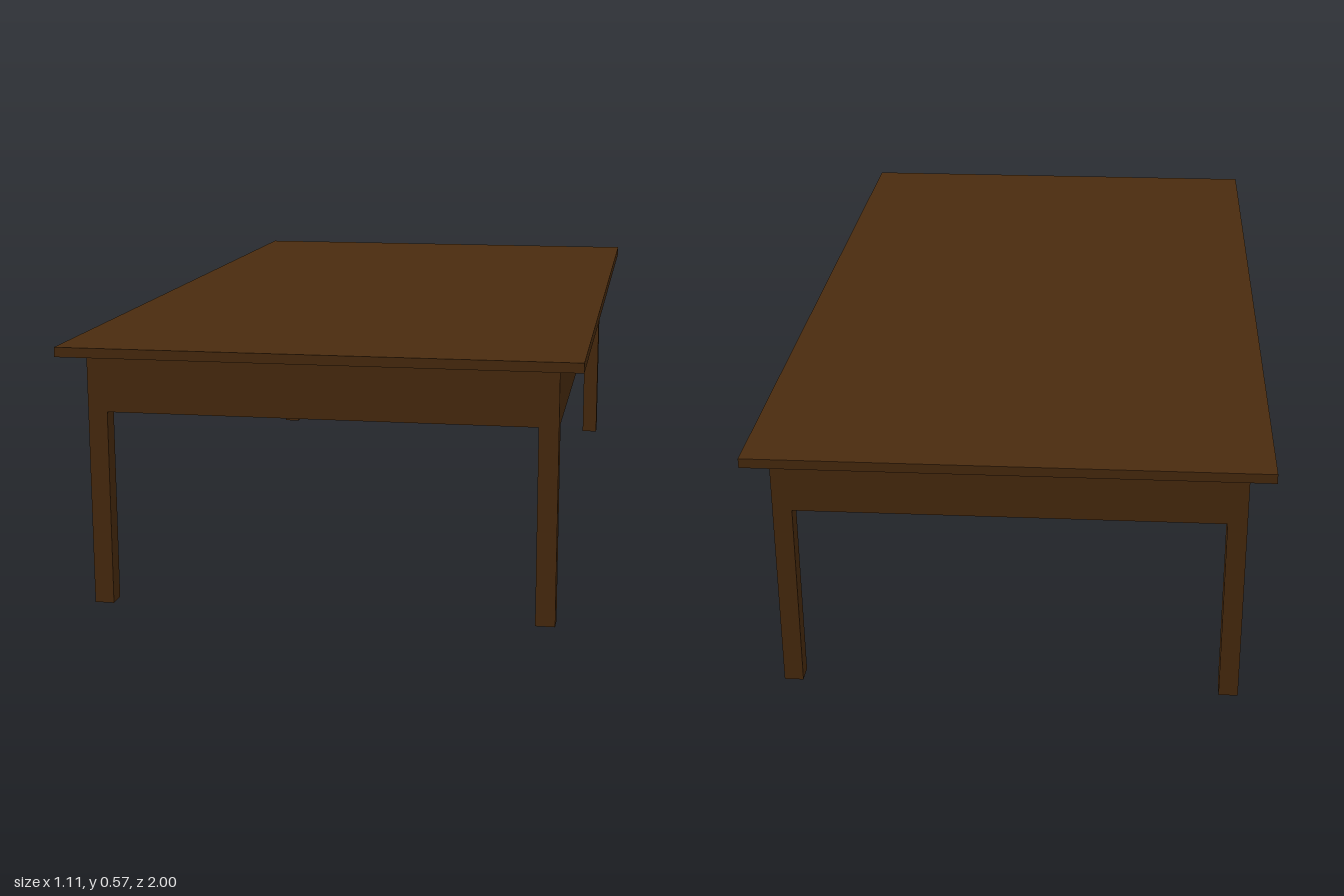
import * as THREE from 'three';

export function createModel() {
  const table = new THREE.Group();
  table.name = 'table';
  const wood = new THREE.MeshStandardMaterial({ color: 0x4a2b0e });
  wood.name = 'dark wood';

  const topWidth = 1.106, topLength = 2, height = 0.574, topThickness = 0.021;
  const apronBottom = 0.427, ceiling = 0.53, frameX = 0.502, frameZ = 0.946, leg = 0.042;
  const under = height - topThickness;
  const apronHeight = under - apronBottom;

  // Box whose y position is given by its base
  function box(name, w, h, d, x, base, z) {
    const mesh = new THREE.Mesh(new THREE.BoxGeometry(w, h, d), wood);
    mesh.name = name;
    mesh.position.set(x, base + h / 2, z);
    table.add(mesh);
  }

  box('tabletop', topWidth, topThickness, topLength, 0, under, 0);

  // Panel closing the frame beneath the tabletop
  const innerX = frameX - leg, innerZ = frameZ - leg;
  box('innerPanel', 2 * innerX, under - ceiling, 2 * innerZ, 0, ceiling, 0);

  // Apron as one rectangular ring
  const ring = new THREE.Shape([[-1, -1], [1, -1], [1, 1], [-1, 1]]
    .map(([x, z]) => new THREE.Vector2(x * frameX, z * frameZ)));
  ring.holes.push(new THREE.Path([[-1, -1], [-1, 1], [1, 1], [1, -1]]
    .map(([x, z]) => new THREE.Vector2(x * innerX, z * innerZ))));
  const apronGeometry = new THREE.ExtrudeGeometry(ring, { depth: apronHeight, bevelEnabled: false });
  apronGeometry.rotateX(-Math.PI / 2);
  const apron = new THREE.Mesh(apronGeometry, wood);
  apron.name = 'apron';
  apron.position.y = apronBottom;
  table.add(apron);

  // Square legs below the apron corners
  for (const s of [1, -1]) {
    for (const t of [1, -1]) {
      const name = (t > 0 ? 'front' : 'back') + (s > 0 ? 'Left' : 'Right') + 'Leg';
      box(name, leg, apronBottom, leg, s * (frameX - leg / 2), 0, t * (frameZ - leg / 2));
    }
  }
  return table;
}
